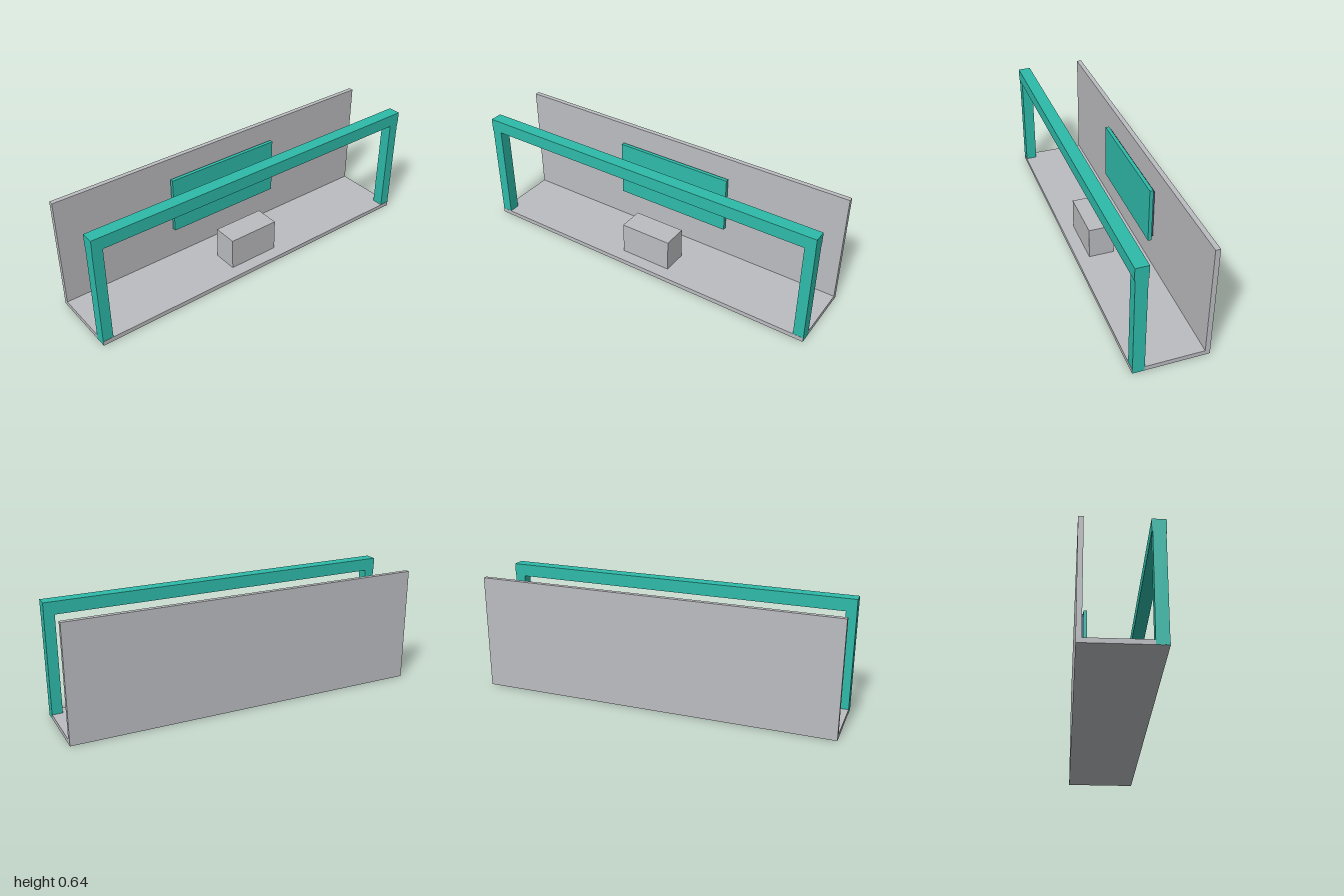
import * as THREE from 'three';

const material = (name, color) => {
  const m = new THREE.MeshStandardMaterial({ color });
  m.name = name;
  return m;
};

export function createModel() {
  const model = new THREE.Group();
  model.name = 'exhibitionStand';
  const grey = material('lightGrey', 0xbcbdc1);
  const teal = material('teal', 0x2ebbaa);
  const navy = material('slateBlue', 0x3f5f7c);

  // Box given by its lower and upper corner
  const block = (name, mat, [x0, y0, z0], [x1, y1, z1]) => {
    const mesh = new THREE.Mesh(new THREE.BoxGeometry(x1 - x0, y1 - y0, z1 - z0), mat);
    mesh.position.set((x0 + x1) / 2, (y0 + y1) / 2, (z0 + z1) / 2);
    mesh.name = name;
    model.add(mesh);
  };

  // Floor and back wall
  block('floor', grey, [-0.9995, 0, -0.2], [0.9995, 0.025, 0.2]);
  block('backWall', grey, [-0.9995, 0.025, -0.2], [0.9995, 0.641, -0.174]);

  // Front portal: two posts and a slightly deeper beam
  block('rightPost', teal, [-1, 0.0005, 0.137], [-0.943, 0.572, 0.199]);
  block('leftPost', teal, [0.943, 0.0005, 0.137], [1, 0.572, 0.199]);
  block('topBeam', teal, [-1, 0.572, 0.133], [1, 0.641, 0.202]);

  // Hanging panel with its backing plate
  block('displayPanel', teal, [-0.34, 0.212, -0.155], [0.34, 0.53, -0.135]);
  block('panelBacking', navy, [-0.33, 0.228, -0.166], [0.33, 0.513, -0.155]);

  // Counter
  block('counter', grey, [-0.148, 0.025, -0.011], [0.148, 0.205, 0.129]);

  return model;
}
